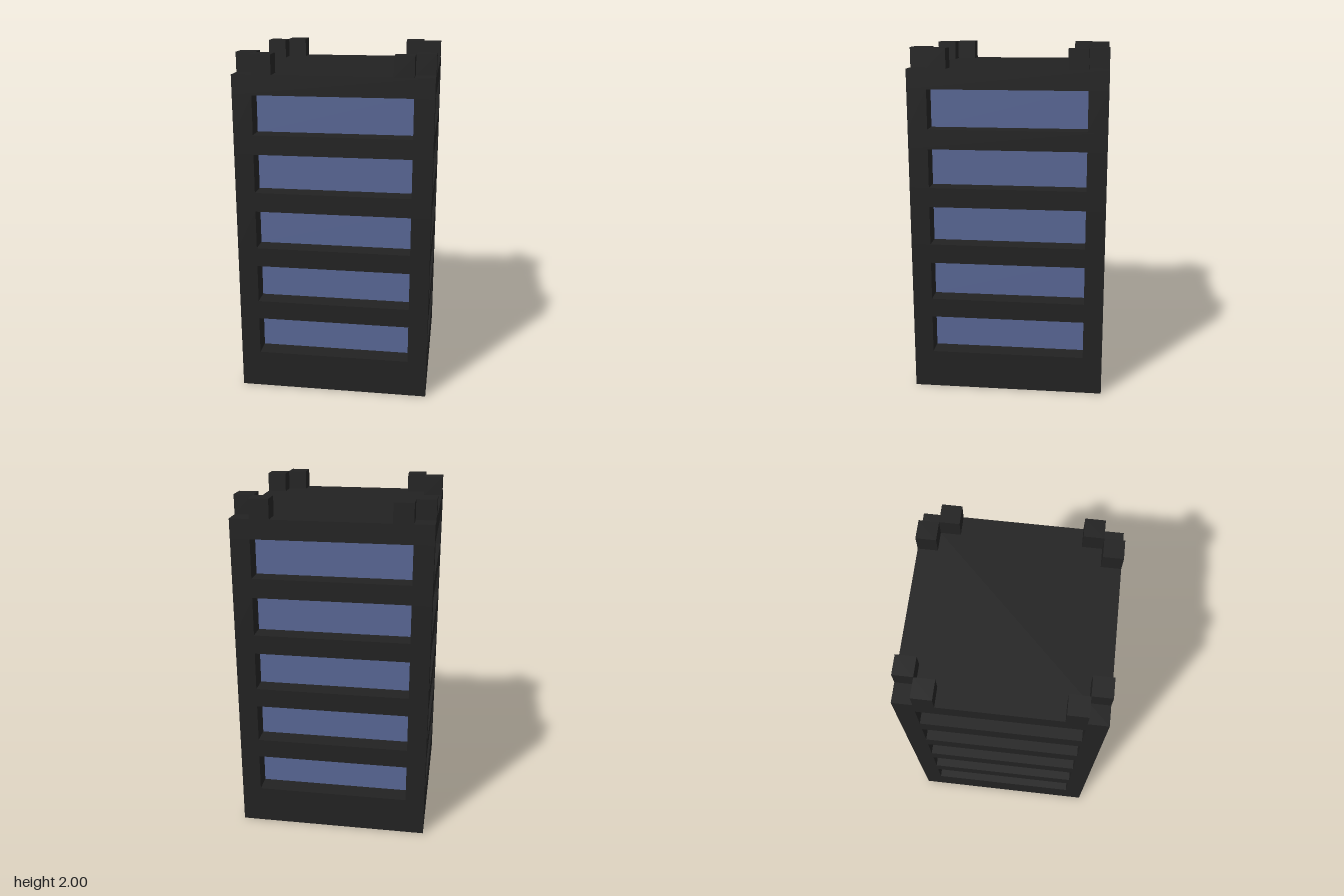
import * as THREE from 'three';

const U = 1 / 9; // one block of the building grid

export function createModel() {
  const group = new THREE.Group();
  const wall = new THREE.MeshStandardMaterial({ color: 0x222222 });
  wall.name = 'darkWall';
  const glass = new THREE.MeshStandardMaterial({ color: 0x586694 });
  glass.name = 'blueGlass';

  // Box in grid blocks, standing on height y
  function block(name, material, w, h, d, x, y, z) {
    const mesh = new THREE.Mesh(new THREE.BoxGeometry(w * U, h * U, d * U), material);
    mesh.position.set(x * U, (y + h / 2) * U, z * U);
    mesh.name = name;
    group.add(mesh);
  }

  // Base, then five storeys of recessed glass between corner posts and floor slabs
  block('base', wall, 10, 2, 10, 0, 0, 0);
  for (let i = 0; i < 5; i++) {
    const y = 2 + i * 3;
    block('windowBand', glass, 8, 2, 8, 0, y, 0);
    for (const sx of [-1, 1]) {
      for (const sz of [-1, 1]) block('cornerPost', wall, 1, 2, 1, sx * 4.5, y, sz * 4.5);
    }
    block(i < 4 ? 'floorSlab' : 'roof', wall, 10, 1, 10, 0, y + 2, 0);
  }

  // Pairs of roof blocks flanking each open corner
  for (const sx of [-1, 1]) {
    for (const sz of [-1, 1]) {
      block('roofBlock', wall, 1, 1, 1, sx * 3.5, 17, sz * 4.5);
      block('roofBlock', wall, 1, 1, 1, sx * 4.5, 17, sz * 3.5);
    }
  }
  return group;
}
